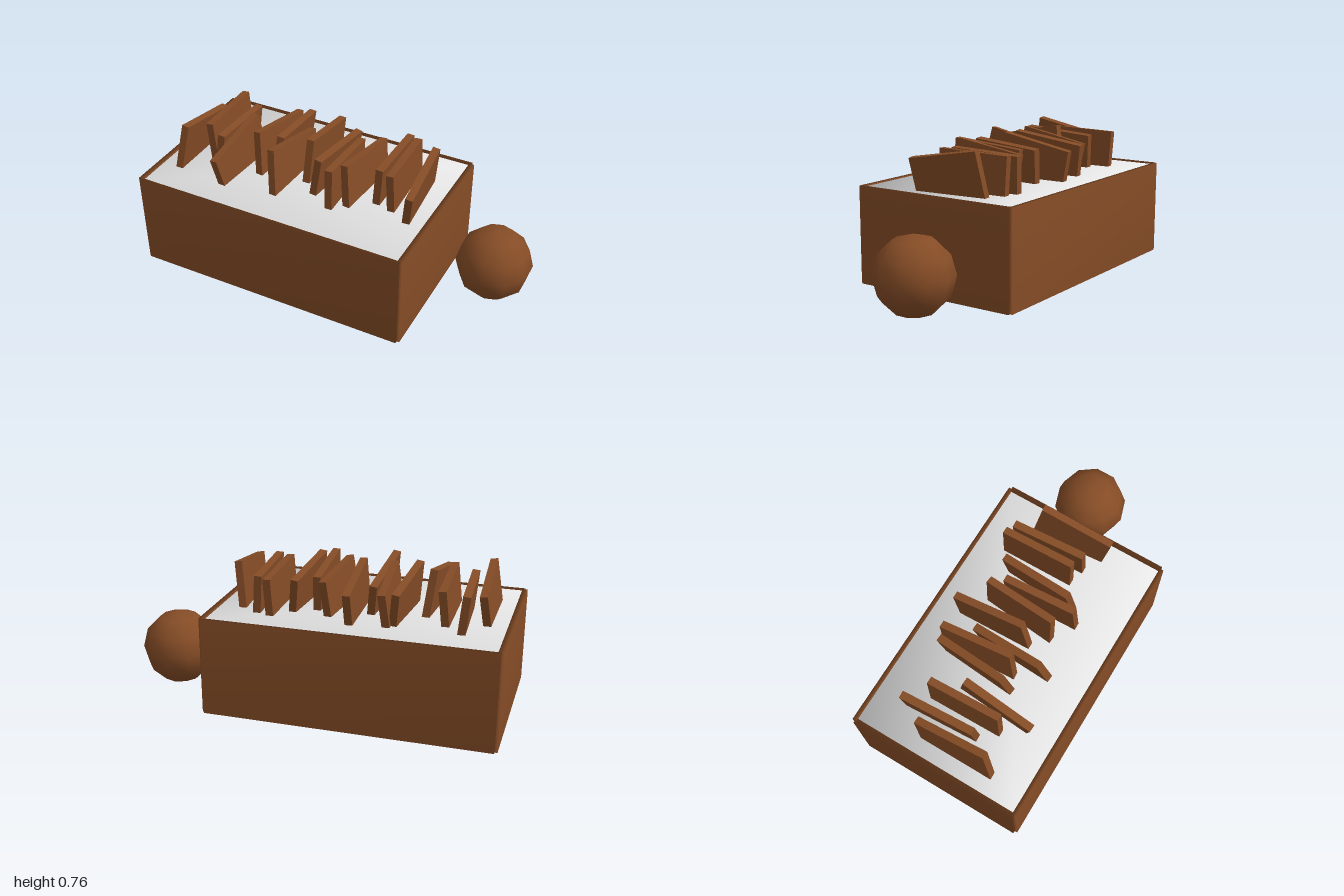
import * as THREE from 'three';
import { mergeVertices } from 'three/addons/utils/BufferGeometryUtils.js';

// box whose eight corners share softened normals
function softBox(w, h, d) {
  let g = new THREE.BoxGeometry(w, h, d);
  g.deleteAttribute('normal');
  g.deleteAttribute('uv');
  g = mergeVertices(g);
  g.computeVertexNormals();
  return g;
}

export function createModel() {
  const brown = new THREE.MeshStandardMaterial({ color: 0x854c26 });
  brown.name = 'brown';
  const white = new THREE.MeshStandardMaterial({ color: 0xf5f5f5 });
  white.name = 'white';

  const model = new THREE.Group();
  const add = (name, geometry, material, x, y, z, parent = model) => {
    const mesh = new THREE.Mesh(geometry, material);
    mesh.name = name;
    mesh.position.set(x, y, z);
    parent.add(mesh);
    return mesh;
  };

  // planter box: floor, long walls and end walls
  const cx = -0.233, H = 0.52;
  add('floor', new THREE.BoxGeometry(1.496, 0.02, 0.92), brown, cx, 0.011, 0);
  for (const s of [-1, 1]) {
    add(s > 0 ? 'frontWall' : 'backWall', softBox(1.506, H, 0.022), brown, cx, H / 2, s * 0.466);
    add(s > 0 ? 'leftWall' : 'rightWall', softBox(0.028, H, 0.924), brown, cx + s * 0.753, H / 2, 0);
  }

  // pale filling, almost level with the rim
  add('filling', softBox(1.484, 0.494, 0.914), white, cx, 0.267, 0);

  // upright slabs: x, y, z of top centre; front-up tilt in degrees; lean of top towards +x; x drift back to front
  const slabs = [
    [-0.865 + 0.02, 0.715, 0.03, 11.5, 0.13, 0.01],
    [-0.778, 0.718, -0.09, 1.5, -0.1, 0.02],
    [-0.65, 0.715, -0.015, 4, 0.1, 0.01],
    [-0.59, 0.715, 0.145, -11.5, -0.1, -0.02],
    [-0.46, 0.718, -0.1, 9, -0.12, -0.04],
    [-0.362, 0.716, -0.125, 8, 0.12, 0.025],
    [-0.312, 0.715, 0.02, 11, -0.13, -0.03],
    [-0.197, 0.716, -0.155, 11, 0.04, 0.015],
    [-0.068, 0.712, -0.045, 4, 0.13, -0.035],
    [0.004, 0.716, 0.022, 5, -0.02, 0.012],
    [0.08, 0.716, -0.045, 7, -0.12, -0.035],
    [0.224, 0.715, -0.115, 2, 0.06, 0.005],
    [0.285, 0.718, -0.09, 1.5, -0.06, 0.02],
    [0.428, 0.7175, 0, -9.5, 0.13, 0.025],
  ];
  const slabGeometry = new THREE.BoxGeometry(0.04, 0.4, 0.4);
  const row = new THREE.Group();
  row.name = 'slabs';
  model.add(row);
  slabs.forEach(([x, y, z, tilt, lean, drift], i) => {
    const pivot = new THREE.Group();
    pivot.name = 'slab' + (i + 1);
    pivot.position.set(x, y, z);
    pivot.rotation.set(-THREE.MathUtils.degToRad(tilt), Math.atan(drift / 0.4), -Math.atan(lean), 'YXZ');
    add('slabPanel', slabGeometry, brown, 0, -0.2, 0, pivot);
    row.add(pivot);
  });

  // faceted ball beside the box
  const ball = add('ball', new THREE.SphereGeometry(0.202, 10, 6), brown, 0.807, 0.202, -0.115);
  ball.rotation.y = Math.PI / 2;

  return model;
}
